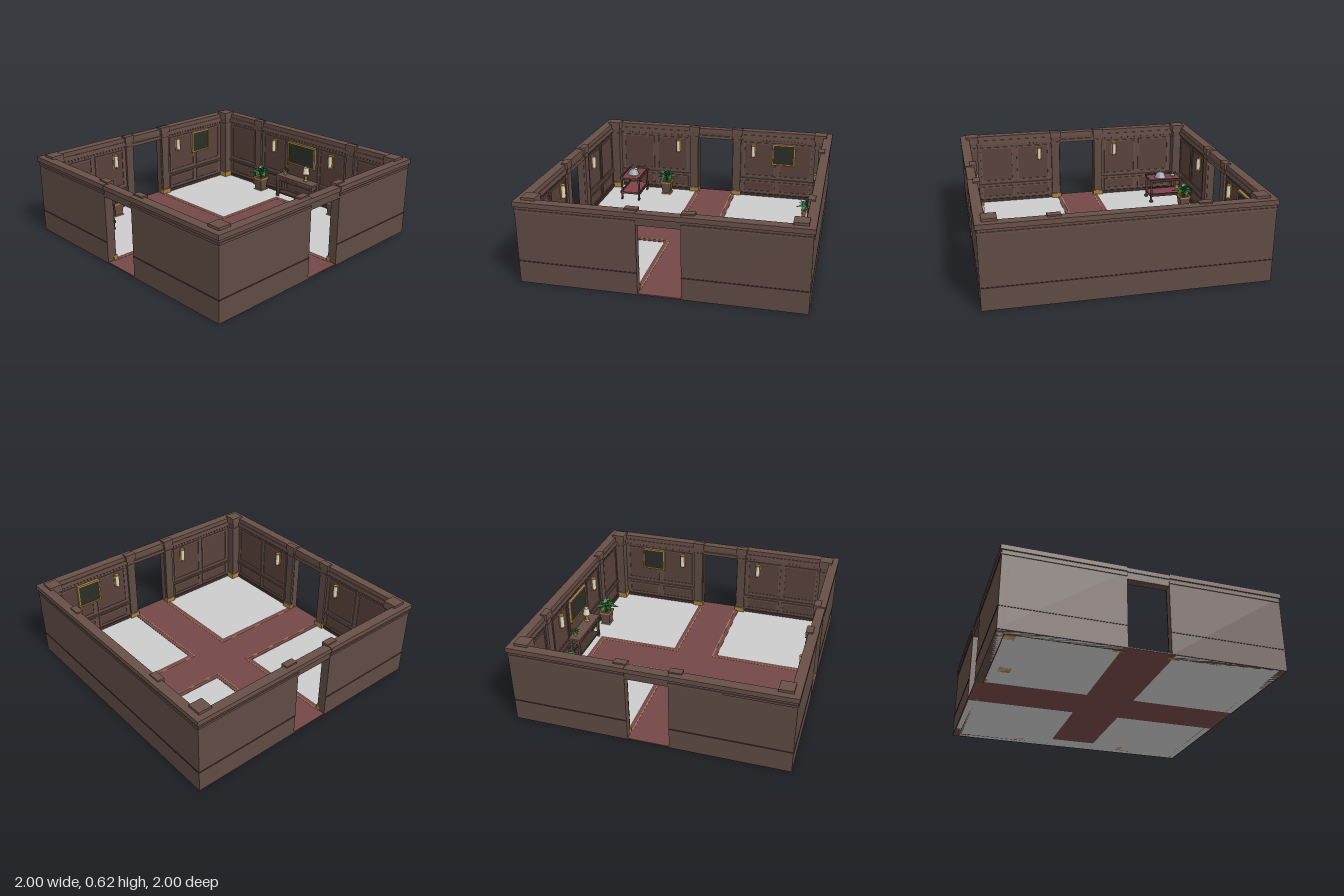
import * as THREE from 'three';

const mat = (color, extra = {}) => new THREE.MeshStandardMaterial({ color, ...extra });
const WOOD = mat(0x5f4a43), TRIM = mat(0x674f47), PANEL = mat(0x59413a), DARK = mat(0x43302b);
const GOLD = mat(0xa5803f), RED = mat(0x744747), STRIPE = mat(0xa58055), GREY = mat(0xcccccc);
const CANVAS = mat(0x2b2d27), SHADE = mat(0xe0d6c0), CLOTH = mat(0x81404a), SILVER = mat(0x9a9ea3);
const LEAVES = [0x2f6e37, 0x3b8044, 0x285c30].map((c) => mat(c, { flatShading: true, side: THREE.DoubleSide }));

function add(parent, name, geometry, material, x = 0, y = 0, z = 0) {
  const m = new THREE.Mesh(geometry, material);
  m.name = name;
  m.position.set(x, y, z);
  parent.add(m);
  return m;
}

// Box given by its extents
function box(parent, name, material, x0, x1, y0, y1, z0, z1) {
  return add(parent, name, new THREE.BoxGeometry(x1 - x0, y1 - y0, z1 - z0), material,
    (x0 + x1) / 2, (y0 + y1) / 2, (z0 + z1) / 2);
}

function group(parent, name, x = 0, y = 0, z = 0) {
  const g = new THREE.Group();
  g.name = name;
  g.position.set(x, y, z);
  parent.add(g);
  return g;
}

const lathe = (pts, n = 24) => new THREE.LatheGeometry(pts.map(([r, y]) => new THREE.Vector2(r, y)), n);

// Rectangular moulding lying on a wall face
function frame(parent, name, material, x0, x1, y0, y1, z0, z1, t) {
  const s = new THREE.Shape().moveTo(x0, y0).lineTo(x1, y0).lineTo(x1, y1).lineTo(x0, y1).closePath();
  s.holes.push(new THREE.Path().moveTo(x0 + t, y0 + t).lineTo(x0 + t, y1 - t)
    .lineTo(x1 - t, y1 - t).lineTo(x1 - t, y0 + t).closePath());
  return add(parent, name, new THREE.ExtrudeGeometry(s, { depth: z1 - z0, bevelEnabled: false }), material, 0, 0, z0);
}

function pilaster(parent, x) {
  const g = group(parent, 'pilaster', x);
  box(g, 'pilasterShaft', WOOD, -0.035, 0.035, 0.045, 0.56, -0.94, -0.918);
  box(g, 'pilasterBase', GOLD, -0.042, 0.042, 0, 0.045, -0.94, -0.91);
  box(g, 'pilasterNeck', TRIM, -0.039, 0.039, 0.505, 0.52, -0.94, -0.914);
  box(g, 'pilasterCapital', TRIM, -0.045, 0.045, 0.56, 0.61, -0.962, -0.912);
}

function sconce(parent, x) {
  const g = group(parent, 'sconce', x, 0.425, -0.92);
  box(g, 'sconcePlate', GOLD, -0.02, 0.02, -0.06, 0.06, -0.015, -0.008);
  add(g, 'sconceShade', new THREE.CylinderGeometry(0.016, 0.016, 0.09, 16), SHADE, 0, 0, 0.006);
  for (const y of [-0.049, 0.049])
    add(g, 'sconceCap', new THREE.CylinderGeometry(0.018, 0.018, 0.01, 16), GOLD, 0, y, 0.006);
}

function picture(parent, x, halfWidth) {
  const g = group(parent, 'picture', x);
  box(g, 'canvas', CANVAS, -halfWidth + 0.01, halfWidth - 0.01, 0.32, 0.49, -0.935, -0.918);
  frame(g, 'pictureFrame', GOLD, -halfWidth, halfWidth, 0.31, 0.5, -0.935, -0.912, 0.012);
}

// One wall along the back edge, facing inward (+z), optionally with a doorway
function wall(root, name, angle, door) {
  const g = group(root, name);
  g.rotation.y = angle;
  const spans = door ? [[-0.99, -0.15], [0.15, 0.99]] : [[-0.99, 0.99]];
  for (const [a, b] of spans) {
    const ia = Math.max(a, -0.935), ib = Math.min(b, 0.935);
    box(g, 'wallPanel', WOOD, a, b, 0, 0.57, -0.99, -0.935);
    box(g, 'outerRail', DARK, a, b, 0.158, 0.166, -0.994, -0.98);
    box(g, 'outerLedge', TRIM, a, b, 0.53, 0.545, -0.996, -0.98);
    box(g, 'skirting', DARK, ia, ib, 0, 0.03, -0.936, -0.927);
    box(g, 'chairRail', TRIM, ia, ib, 0.156, 0.17, -0.936, -0.923);
    box(g, 'innerLedge', TRIM, ia, ib, 0.53, 0.565, -0.936, -0.924);
    box(g, 'cornice', TRIM, a < -0.9 ? -1 : a, b > 0.9 ? 1 : b, 0.565, 0.6, -1, -0.93);
    for (let x = ia + 0.02; x < ib - 0.01; x += 0.03)
      box(g, 'dentil', TRIM, x - 0.007, x + 0.007, 0.515, 0.53, -0.936, -0.926);
  }
  if (door) {
    box(g, 'lintel', WOOD, -0.15, 0.15, 0.51, 0.565, -0.988, -0.935);
    box(g, 'lintelCornice', TRIM, -0.15, 0.15, 0.562, 0.595, -0.996, -0.932);
    box(g, 'doorHead', TRIM, -0.15, 0.15, 0.51, 0.535, -0.936, -0.924);
  }
  // raised panels, upper and lower
  const bays = door ? [[0.25, 0.53], [0.56, 0.84]] : [[0.56, 0.84], [0.19, 0.44]];
  const panels = bays.flatMap(([a, b]) => [[a, b], [-b, -a]]);
  if (!door) panels.push([-0.17, 0.17]);
  for (const [a, b] of panels) {
    for (const [y0, y1] of [[0.19, 0.5], [0.045, 0.145]]) {
      box(g, 'panelField', PANEL, a + 0.01, b - 0.01, y0 + 0.01, y1 - 0.01, -0.936, -0.932);
      frame(g, 'panelMoulding', TRIM, a, b, y0, y1, -0.936, -0.927, 0.012);
    }
  }
  for (const s of [-1, 1]) {
    pilaster(g, s * (door ? 0.19 : 0.5));
    sconce(g, s * (door ? 0.335 : 0.31));
  }
  return g;
}

// Folded pointed leaf along +z
function leafGeometry(len, w) {
  const p = [0, 0, 0, -w, 0.18 * len, 0.45 * len, 0, 0.1 * len, 0.45 * len, w, 0.18 * len, 0.45 * len, 0, -0.08 * len, len];
  const geo = new THREE.BufferGeometry();
  geo.setAttribute('position', new THREE.Float32BufferAttribute(p, 3));
  geo.setIndex([0, 1, 2, 0, 2, 3, 1, 4, 2, 2, 4, 3]);
  geo.computeVertexNormals();
  return geo;
}

function foliage(parent, y, size) {
  const g = group(parent, 'foliage', 0, y);
  [[7, 0.15, 1], [6, 0.65, 0.9], [4, 1.15, 0.8]].forEach(([n, lift, k], ring) => {
    for (let i = 0; i < n; i++) {
      const len = size * k * (0.86 + 0.14 * Math.sin(i * 2.3 + ring));
      const leaf = add(g, 'leaf', leafGeometry(len, size * 0.25), LEAVES[(i + ring) % 3]);
      leaf.rotation.set(-lift, (i / n) * Math.PI * 2 + ring * 0.5, 0, 'YXZ');
    }
  });
  add(g, 'stem', new THREE.CylinderGeometry(size * 0.06, size * 0.08, size * 0.5, 6), LEAVES[2], 0, -size * 0.15, 0);
}

function plant(root, x, z, turn) {
  const g = group(root, 'pottedPlant', x, 0, z);
  const pot = add(g, 'planter', new THREE.CylinderGeometry(0.064, 0.047, 0.1, 4), TRIM, 0, 0.06, 0);
  pot.material = mat(0x674f47, { flatShading: true });
  pot.rotation.y = Math.PI / 4;
  box(g, 'planterFoot', GOLD, -0.042, 0.042, 0, 0.012, -0.042, 0.042);
  frame(g, 'planterRim', GOLD, -0.05, 0.05, -0.05, 0.05, 0, 0.015, 0.012).rotation.x = -Math.PI / 2;
  g.children.at(-1).position.y = 0.108;
  box(g, 'soil', DARK, -0.04, 0.04, 0.1, 0.113, -0.04, 0.04);
  const leaves = group(g, 'leaves');
  leaves.rotation.y = turn;
  foliage(leaves, 0.15, 0.115);
}

function console_(root) {
  const g = group(root, 'consoleTable');
  box(g, 'tableTop', TRIM, -0.21, 0.2, 0.188, 0.203, -0.93, -0.835);
  box(g, 'apron', PANEL, -0.195, 0.185, 0.15, 0.188, -0.922, -0.845);
  for (const x of [-0.1, 0.09]) {
    frame(g, 'drawer', TRIM, x - 0.08, x + 0.08, 0.155, 0.184, -0.846, -0.842, 0.004);
    add(g, 'drawerKnob', new THREE.SphereGeometry(0.005, 10, 8), GOLD, x, 0.17, -0.84);
  }
  for (const x of [-0.192, 0.182]) for (const z of [-0.915, -0.85])
    box(g, 'tableLeg', WOOD, x - 0.01, x + 0.01, 0, 0.188, z - 0.009, z + 0.009);
  box(g, 'lowerShelf', DARK, -0.192, 0.182, 0.035, 0.048, -0.918, -0.847);
  // lamp
  const lamp = group(g, 'tableLamp', 0.08, 0.203, -0.895);
  add(lamp, 'lampBase', lathe([[0, 0], [0.02, 0], [0.02, 0.006], [0.008, 0.012], [0.013, 0.03], [0.005, 0.05], [0.004, 0.07]]), GOLD);
  add(lamp, 'lampShade', new THREE.CylinderGeometry(0.02, 0.029, 0.06, 24, 1, true),
    mat(0xe0d6c0, { side: THREE.DoubleSide }), 0, 0.093, 0);
  add(lamp, 'bulb', new THREE.SphereGeometry(0.012, 12, 8), SHADE, 0, 0.085, 0);
  // small plant
  const small = group(g, 'smallPlant', -0.15, 0.203, -0.895);
  add(small, 'smallPot', new THREE.CylinderGeometry(0.017, 0.012, 0.03, 12), GOLD, 0, 0.015, 0);
  foliage(small, 0.035, 0.042);
}

function trolley(root) {
  const g = group(root, 'servingTrolley', -0.73, 0, 0.69);
  for (const y of [0.06, 0.19]) {
    box(g, 'trolleyShelf', WOOD, -0.14, 0.14, y, y + 0.012, -0.085, 0.085);
    box(g, 'shelfCloth', CLOTH, -0.135, 0.135, y + 0.012, y + 0.015, -0.076, 0.076);
    for (const s of [-1, 1]) box(g, 'shelfLip', DARK, -0.142, 0.142, y, y + 0.024, s * 0.082 - 0.006, s * 0.082 + 0.006);
  }
  for (const x of [-0.13, 0.13]) for (const z of [-0.076, 0.076]) {
    box(g, 'trolleyPost', WOOD, x - 0.007, x + 0.007, 0.03, 0.215, z - 0.007, z + 0.007);
    add(g, 'castor', new THREE.CylinderGeometry(0.016, 0.016, 0.01, 16).rotateX(Math.PI / 2), DARK, x, 0.016, z);
  }
  const path = new THREE.CatmullRomCurve3([[-0.13, -0.045], [-0.148, -0.042], [-0.148, 0.042], [-0.13, 0.045]]
    .map(([x, z]) => new THREE.Vector3(x, 0.21, z)), false, 'catmullrom', 0.2);
  add(g, 'trolleyHandle', new THREE.TubeGeometry(path, 20, 0.005, 8), GOLD);
  const dome = (x, z, r) => {
    add(g, 'servingDome', lathe([[0, 0], [r, 0], [r, 0.006], [r * 0.9, 0.01], [r * 0.85, r * 0.4], [r * 0.6, r * 0.8],
      [r * 0.2, r], [0.006, r + 0.003], [0.008, r + 0.012], [0, r + 0.018]]), SILVER, x, 0.205, z);
  };
  dome(0.03, 0, 0.05);
  dome(-0.088, 0.018, 0.021);
}

export function createModel() {
  const root = new THREE.Group();
  root.name = 'hallway';

  // floor quarters and crossing carpet
  for (const [z0, z1] of [[-0.98, -0.18], [0.18, 0.98]]) {
    box(root, 'floor', GREY, -0.98, -0.18, 0, 0.006, z0, z1);
    box(root, 'floor', GREY, 0.18, 0.98, 0, 0.006, z0, z1);
  }
  box(root, 'floorStrip', GREY, -0.18, 0.18, 0, 0.006, -0.98, -0.82);
  box(root, 'carpetLong', RED, -0.18, 0.18, 0, 0.009, -0.82, 0.988);
  for (const s of [-1, 1]) {
    const a = s < 0 ? -0.988 : 0.18;
    box(root, 'carpetArm', RED, a, a + 0.808, 0, 0.009, -0.18, 0.18);
    const b = s < 0 ? -0.94 : 0.15;
    for (const z of [-0.147, 0.147]) box(root, 'carpetStripe', STRIPE, b, b + 0.79, 0.008, 0.011, z - 0.004, z + 0.004);
    box(root, 'carpetStripe', STRIPE, s * 0.147 - 0.004, s * 0.147 + 0.004, 0.008, 0.011, -0.79, -0.143);
    box(root, 'carpetStripe', STRIPE, s * 0.147 - 0.004, s * 0.147 + 0.004, 0.008, 0.011, 0.143, 0.94);
  }
  box(root, 'carpetStripe', STRIPE, -0.151, 0.151, 0.008, 0.011, -0.79, -0.782);

  // walls
  picture(wall(root, 'backWall', 0, false), 0, 0.15);
  wall(root, 'frontWall', Math.PI, true);
  picture(wall(root, 'rightWall', Math.PI / 2, true), 0.6, 0.1);
  picture(wall(root, 'leftWall', -Math.PI / 2, true), -0.6, 0.1);

  // corner columns
  for (const x of [-0.905, 0.905]) for (const z of [-0.905, 0.905]) {
    const c = group(root, 'cornerColumn', x, 0, z);
    box(c, 'columnShaft', WOOD, -0.04, 0.04, 0.05, 0.565, -0.04, 0.04);
    box(c, 'columnBase', GOLD, -0.048, 0.048, 0, 0.05, -0.048, 0.048);
    box(c, 'columnNeck', TRIM, -0.045, 0.045, 0.5, 0.52, -0.045, 0.045);
    box(c, 'columnCapital', TRIM, -0.05, 0.05, 0.56, 0.618, -0.05, 0.05);
  }

  // furnishings
  plant(root, -0.41, -0.865, 0.2);
  plant(root, 0.41, -0.865, 1.1);
  plant(root, -0.83, 0.42, 2.2);
  console_(root);
  trolley(root);
  return root;
}
